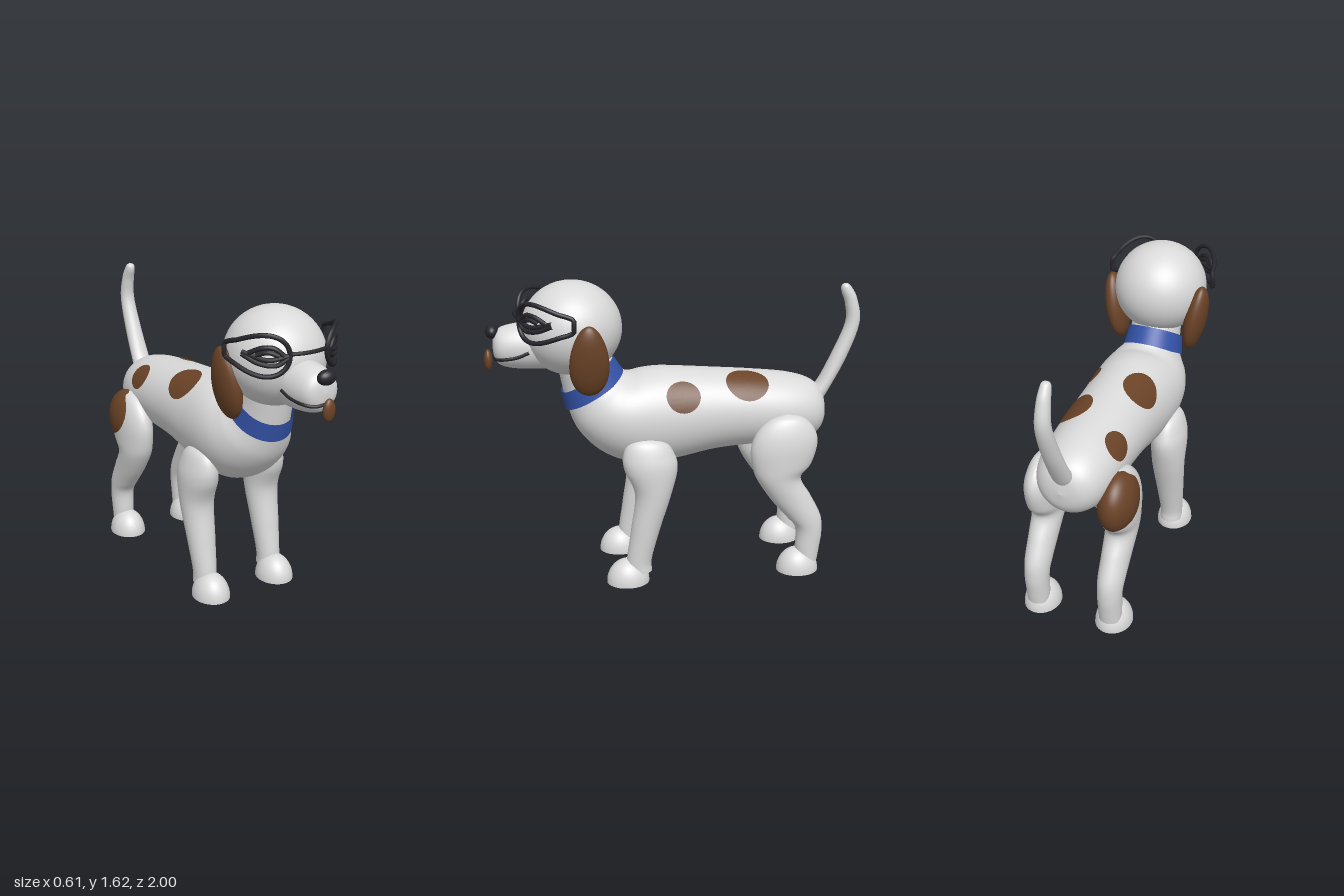
import * as THREE from 'three';

const paint = (name, color) => {
  const m = new THREE.MeshStandardMaterial({ color });
  m.name = name;
  return m;
};

// Loft of ellipses in the yz plane. Ring: [zA, yA, zB, yB, halfWidth], A and B being opposite ends.
function loft(rings, x = 0, steps = 60, sides = 40) {
  const curve = f => new THREE.CatmullRomCurve3(rings.map(f), false, 'catmullrom', 0.5);
  const A = curve(r => new THREE.Vector3(0, r[1], r[0]));
  const B = curve(r => new THREE.Vector3(0, r[3], r[2]));
  const W = curve(r => new THREE.Vector3(r[4], 0, 0));
  const pos = [], idx = [];
  for (let i = 0; i <= steps; i++) {
    const t = i / steps, a = A.getPoint(t), b = B.getPoint(t), w = Math.max(0, W.getPoint(t).x);
    const c = a.clone().add(b).multiplyScalar(0.5);
    a.sub(c);
    for (let j = 0; j < sides; j++) {
      const q = (j / sides) * Math.PI * 2;
      pos.push(x + Math.sin(q) * w, c.y + Math.cos(q) * a.y, c.z + Math.cos(q) * a.z);
      if (i < steps) {
        const k = i * sides + j, n = i * sides + (j + 1) % sides;
        idx.push(k, k + sides, n, n, k + sides, n + sides);
      }
    }
  }
  const g = new THREE.BufferGeometry();
  g.setAttribute('position', new THREE.Float32BufferAttribute(pos, 3));
  g.setIndex(idx);
  g.computeVertexNormals();
  return g;
}

// Thin elliptical patch laid on a mesh by casting rays against direction d (in the xy plane)
function patch(target, [x, y, z], [dx, dy], rz, rt) {
  const d = new THREE.Vector3(dx, dy, 0).normalize(), t1 = new THREE.Vector3(0, 0, 1);
  const t2 = d.clone().cross(t1), ray = new THREE.Raycaster(), pos = [], idx = [], N = 36, R = 7;
  for (let i = 0; i <= R; i++) for (let j = 0; j < N; j++) {
    const q = (j / N) * Math.PI * 2, s = i / R;
    const p = new THREE.Vector3(x, y, z).addScaledVector(t1, Math.cos(q) * rz * s).addScaledVector(t2, Math.sin(q) * rt * s);
    ray.set(p.clone().addScaledVector(d, 0.6), d.clone().negate());
    const hit = ray.intersectObject(target)[0];
    if (hit) p.copy(hit.point).addScaledVector(hit.face.normal, 0.004);
    pos.push(p.x, p.y, p.z);
    if (i < R) {
      const k = i * N + j, n = i * N + (j + 1) % N;
      idx.push(k, k + N, n, n, k + N, n + N);
    }
  }
  const g = new THREE.BufferGeometry();
  g.setAttribute('position', new THREE.Float32BufferAttribute(pos, 3));
  g.setIndex(idx);
  g.computeVertexNormals();
  return g;
}

const ball = (rx, ry, rz) => new THREE.SphereGeometry(1, 40, 28).scale(rx, ry, rz);

export function createModel() {
  const dog = new THREE.Group();
  dog.name = 'dog';
  const white = paint('white coat', 0xdadada), brown = paint('brown patches', 0x6b4327);
  const blue = paint('blue collar', 0x3453a8), black = paint('black', 0x25252b);
  const add = (name, geo, mat, x = 0, y = 0, z = 0) => {
    const m = new THREE.Mesh(geo, mat);
    m.name = name;
    m.position.set(x, y, z);
    dog.add(m);
    return m;
  };
  const tube = (name, pts, r, closed = false) =>
    add(name, new THREE.TubeGeometry(new THREE.CatmullRomCurve3(pts, closed), 64, r, 10, closed), black);

  // Body and neck, from rump to throat
  const body = add('body', loft([
    [-0.815, 0.87, -0.815, 0.87, 0], [-0.795, 0.97, -0.795, 0.775, 0.1], [-0.73, 1.035, -0.73, 0.715, 0.165],
    [-0.6, 1.075, -0.6, 0.69, 0.2], [-0.4, 1.1, -0.4, 0.69, 0.21], [-0.2, 1.118, -0.2, 0.675, 0.215],
    [0, 1.135, 0, 0.635, 0.225], [0.1, 1.14, 0.15, 0.62, 0.235], [0.18, 1.132, 0.3, 0.64, 0.24],
    [0.23, 1.12, 0.43, 0.71, 0.23], [0.26, 1.12, 0.53, 0.82, 0.2], [0.29, 1.14, 0.58, 0.945, 0.152],
    [0.345, 1.21, 0.6, 1.035, 0.138], [0.4, 1.3, 0.63, 1.2, 0.135]], 0, 90, 56), white);

  // Coat spots
  add('spotLeftSide', patch(body, [0.18, 1.02, -0.01], [0.85, 0.52], 0.09, 0.085), brown);
  add('spotLeftBack', patch(body, [0.12, 1.06, -0.36], [0.5, 0.85], 0.115, 0.1), brown);
  add('spotRightBack', patch(body, [-0.125, 1.07, -0.085], [-0.5, 0.85], 0.115, 0.1), brown);
  add('spotRightRump', patch(body, [-0.165, 1.0, -0.505], [-0.8, 0.6], 0.078, 0.075), brown);
  add('hipPatch', ball(0.098, 0.165, 0.157), brown, -0.208, 0.74, -0.585);

  // Tail
  add('tail', loft([
    [-0.79, 0.9, -0.72, 0.98, 0.056], [-0.83, 0.96, -0.775, 1.02, 0.054], [-0.93, 1.15, -0.85, 1.17, 0.047],
    [-0.995, 1.34, -0.917, 1.335, 0.04], [-0.975, 1.47, -0.912, 1.44, 0.034], [-0.94, 1.535, -0.888, 1.51, 0.027],
    [-0.92, 1.552, -0.888, 1.54, 0.018], [-0.902, 1.552, -0.902, 1.552, 0]], 0, 50, 28), white);

  // Legs and paws
  const foreRings = [
    [0.165, 0.06, 0.3, 0.06, 0.062], [0.165, 0.13, 0.3, 0.13, 0.063], [0.12, 0.3, 0.275, 0.3, 0.076],
    [0.058, 0.5, 0.252, 0.5, 0.09], [0.025, 0.64, 0.305, 0.64, 0.094], [0.04, 0.72, 0.312, 0.72, 0.08],
    [0.09, 0.79, 0.28, 0.79, 0.05], [0.2, 0.822, 0.2, 0.822, 0]];
  const hindRings = [
    [-0.755, 0.06, -0.635, 0.06, 0.06], [-0.765, 0.13, -0.632, 0.13, 0.062], [-0.775, 0.22, -0.628, 0.25, 0.065],
    [-0.765, 0.32, -0.575, 0.32, 0.07], [-0.705, 0.44, -0.49, 0.42, 0.075], [-0.645, 0.55, -0.41, 0.54, 0.083],
    [-0.7, 0.63, -0.38, 0.62, 0.09], [-0.73, 0.74, -0.37, 0.72, 0.09], [-0.712, 0.82, -0.4, 0.81, 0.075],
    [-0.65, 0.885, -0.47, 0.88, 0.045], [-0.56, 0.907, -0.56, 0.907, 0]];
  for (const s of [1, -1]) {
    const side = s > 0 ? 'Left' : 'Right';
    for (const [name, rings, z] of [['fore', foreRings, 0.295], ['hind', hindRings, -0.645]]) {
      add(name + 'Leg' + side, loft(rings, s * 0.206), white);
      add(name + 'Paw' + side, new THREE.SphereGeometry(1, 36, 14, 0, Math.PI * 2, 0, Math.PI / 2)
        .scale(0.098, 0.13, 0.115), white, s * 0.206, 0, z);
      add(name + 'Sole' + side, new THREE.CircleGeometry(1, 36).rotateX(Math.PI / 2)
        .scale(0.098, 1, 0.115), white, s * 0.206, 0, z);
    }
  }

  // Collar
  const collar = loft([[0.278, 1.125, 0.592, 0.937, 0.163], [0.337, 1.215, 0.612, 1.03, 0.15]], 0, 6, 56);
  const collarBlue = add('collar', collar, blue);
  blue.side = THREE.DoubleSide;
  collarBlue.renderOrder = 0;

  // Head and muzzle
  add('head', ball(0.25, 0.245, 0.26), white, 0, 1.37, 0.545);
  const profile = [[0.12, 0.62], [0.12, 0.72], [0.117, 0.8], [0.108, 0.87], [0.09, 0.92], [0.055, 0.945], [0, 0.953]];
  const curve = new THREE.SplineCurve(profile.map(([r, z]) => new THREE.Vector2(r, z)));
  const outline = curve.getPoints(30).map(p => new THREE.Vector2(Math.max(0, p.x), p.y));
  add('muzzle', new THREE.LatheGeometry(outline, 40).rotateX(Math.PI / 2).scale(1, 1.03, 1), white, 0, 1.285, 0);
  add('nose', ball(0.05, 0.037, 0.034), black, 0, 1.365, 0.952);
  add('tongue', ball(0.033, 0.056, 0.022), brown, 0, 1.215, 0.978);
  tube('mouth', [[-0.118, 1.275, 0.77], [-0.11, 1.25, 0.83], [-0.085, 1.235, 0.91], [-0.045, 1.23, 0.94], [0, 1.235, 0.947],
    [0.045, 1.23, 0.94], [0.085, 1.235, 0.91], [0.11, 1.25, 0.83], [0.118, 1.275, 0.77]]
    .map(p => new THREE.Vector3(...p)), 0.009);

  // Drop ears, narrower toward the top
  for (const s of [1, -1]) {
    const g = ball(0.058, 0.19, 0.1), p = g.attributes.position;
    for (let i = 0; i < p.count; i++) p.setZ(i, p.getZ(i) * (1 - 0.9 * p.getY(i)));
    g.computeVertexNormals();
    add(s > 0 ? 'earLeft' : 'earRight', g, brown, s * 0.23, 1.248, 0.475).rotation.z = -s * 0.17;
  }

  // Glasses and eyes, wrapped on a cylinder around the face
  const wrap = (x, y) => new THREE.Vector3(x, y, 0.55 + Math.sqrt(Math.max(0, 0.285 ** 2 - x * x)));
  tube('glassesBridge', [-0.1, -0.05, 0, 0.05, 0.1].map(x => wrap(x, 1.455)), 0.01);
  const strokes = [
    [[-0.08, 0], [-0.03, -0.035], [0.03, -0.03], [0.075, 0.005]],
    [[-0.08, 0.01], [0, -0.012], [0.075, 0.015]],
    [[-0.06, 0.01], [-0.02, 0.045], [0.02, 0.045], [0.06, 0.015]],
    [[-0.04, 0.01], [0, 0.025], [0.04, 0.01]]];
  for (const s of [1, -1]) {
    const side = s > 0 ? 'Left' : 'Right', rim = [];
    for (let i = 0; i < 40; i++) {
      const q = (i / 40) * Math.PI * 2;
      rim.push(wrap(s * (0.2 + 0.094 * Math.cos(q)), 1.445 + 0.098 * Math.sin(q)));
    }
    tube('glassesRim' + side, rim, 0.012, true);
    for (const st of strokes) tube('eye' + side, st.map(([x, y]) => wrap(s * (0.19 + x), 1.438 + y)), 0.012);
  }
  return dog;
}
